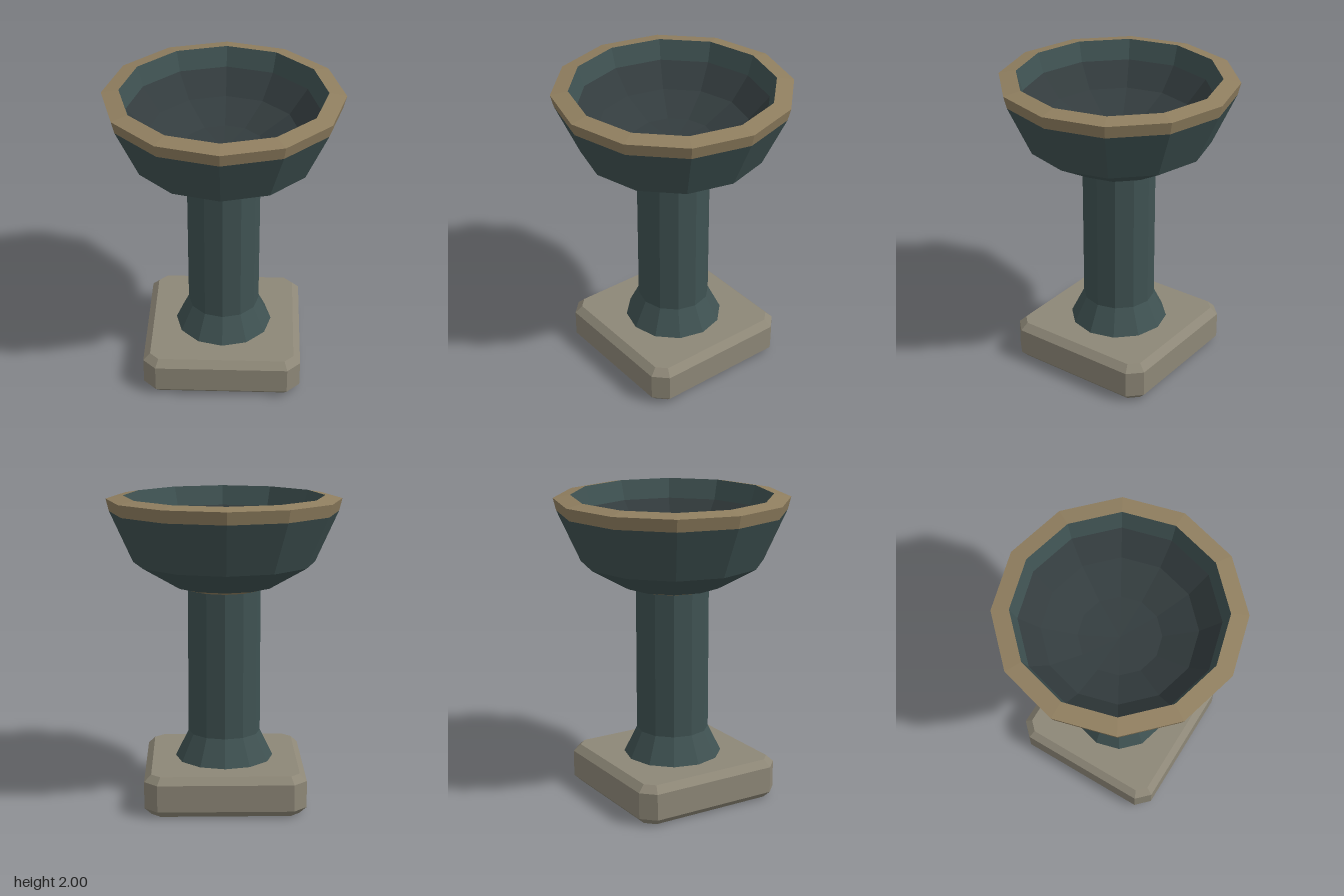
import * as THREE from 'three';

const SIDES = 12;
const paint = (color) => new THREE.MeshStandardMaterial({ color, flatShading: true });
const stone = paint(0x3f5252);
const darkStone = paint(0x333c3e);
const bronze = paint(0x8f7e5f);
const plinthStone = paint(0x8d8777);

// Faceted ring surface; profile [radius, y] runs up the outside, then down the inside
function turned(name, material, profile) {
  const points = profile.map(([r, y]) => new THREE.Vector2(r, y));
  const mesh = new THREE.Mesh(new THREE.LatheGeometry(points, SIDES), material);
  mesh.name = name;
  return mesh;
}

// Square slab with cut corners and chamfered top and bottom edges
function plinth(half, cut, height, bevel) {
  const h = half - bevel;
  const k = half - cut - bevel * (Math.SQRT2 - 1);
  const corners = [[h, -k], [h, k], [k, h], [-k, h], [-h, k], [-h, -k], [-k, -h], [k, -h]];
  const shape = new THREE.Shape(corners.map(([x, y]) => new THREE.Vector2(x, y)));
  const geometry = new THREE.ExtrudeGeometry(shape, {
    depth: height - 2 * bevel,
    bevelEnabled: true,
    bevelSize: bevel,
    bevelThickness: bevel,
    bevelSegments: 1,
  });
  geometry.rotateX(-Math.PI / 2).translate(0, bevel, 0);
  const mesh = new THREE.Mesh(geometry, plinthStone);
  mesh.name = 'plinth';
  return mesh;
}

export function createModel() {
  const group = new THREE.Group();
  group.name = 'pedestalBasin';
  group.add(
    plinth(0.52, 0.085, 0.265, 0.045),
    // Column with flared foot
    turned('column', stone, [[0.325, 0.26], [0.237, 0.44], [0.237, 1.43]]),
    // Thin collar under the bowl
    turned('collar', bronze, [[0.23, 1.395], [0.24, 1.395], [0.27, 1.42]]),
    // Bowl, from underside to rim
    turned('bowlOuter', stone, [[0.2, 1.42], [0.33, 1.42], [0.59, 1.57], [0.74, 1.9]]),
    turned('rim', bronze, [[0.74, 1.9], [0.76, 1.98], [0.65, 2]]),
    turned('bowlInnerLip', stone, [[0.65, 2], [0.61, 1.87]]),
    turned('bowlInterior', darkStone, [[0.61, 1.87], [0.48, 1.72], [0.26, 1.62], [0, 1.59]]),
  );
  return group;
}
